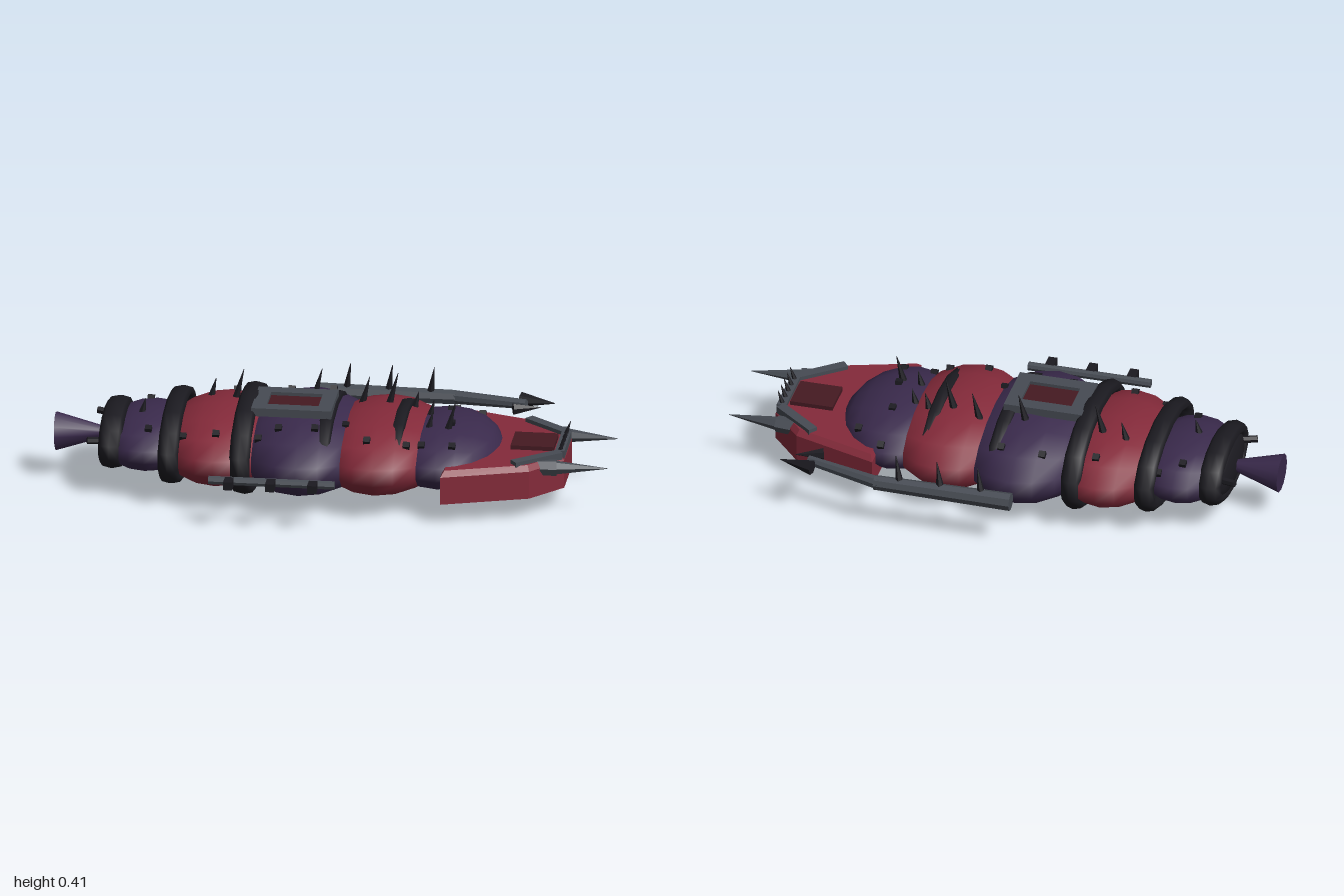
import * as THREE from 'three';
import { ConvexGeometry } from 'three/addons/geometries/ConvexGeometry.js';

const V = (x, y, z) => new THREE.Vector3(x, y, z);
const mat = (color, flatShading = false) => new THREE.MeshStandardMaterial({ color, flatShading });
const purple = mat(0x3a2a4c), red = mat(0x842a3a), hullRed = mat(0x842a3a, true);
const black = mat(0x1b1a20), blackFlat = mat(0x1b1a20, true);
const grey = mat(0x464b53, true), darkRed = mat(0x451a22, true);

// body segments: centre x, half sizes along x, y, z
const MID = 0.175;
const SEGMENTS = [
  [-0.66, 0.18, 0.105, 0.25, purple],
  [-0.40, 0.22, 0.135, 0.34, red],
  [-0.10, 0.25, 0.152, 0.383, purple],
  [0.17, 0.24, 0.141, 0.358, red],
  [0.39, 0.21, 0.115, 0.297, purple],
];

// height of the body's upper surface
function skin(x, z) {
  let top = 0;
  for (const [cx, hx, hy, hz] of SEGMENTS) {
    const d = 1 - ((x - cx) / hx) ** 2 - (z / hz) ** 2;
    if (d > 0) top = Math.max(top, hy * Math.sqrt(d));
  }
  return MID + top;
}

export function createModel() {
  const model = new THREE.Group();

  const add = (name, geometry, material, x = 0, y = 0, z = 0) => {
    const mesh = new THREE.Mesh(geometry, material);
    mesh.name = name;
    mesh.position.set(x, y, z);
    model.add(mesh);
    return mesh;
  };
  const box = (name, material, x, y, z, w, h, d) =>
    add(name, new THREE.BoxGeometry(w, h, d), material, x, y, z);
  // cylinder or cone from point a to point b
  const rod = (name, material, a, b, ra, rb, sides = 6) => {
    const axis = b.clone().sub(a);
    const mesh = add(name, new THREE.CylinderGeometry(rb, ra, axis.length(), sides), material);
    mesh.position.copy(a).add(b).multiplyScalar(0.5);
    mesh.quaternion.setFromUnitVectors(V(0, 1, 0), axis.normalize());
    return mesh;
  };

  // overlapping rounded body segments
  SEGMENTS.forEach(([x, hx, hy, hz, m]) => {
    const g = new THREE.SphereGeometry(1, 14, 10).rotateZ(Math.PI / 2).scale(hx, hy, hz);
    add('bodySegment', g, m, x, MID, 0);
  });

  // black bands: x, outer half height, outer half width, tube radius
  [
    [-0.785, 0.112, 0.232, 0.042],
    [-0.567, 0.15, 0.312, 0.037],
    [-0.307, 0.175, 0.347, 0.037],
    [-0.017, 0.152, 0.335, 0.027],
    [0.24, 0.139, 0.305, 0.024],
  ].forEach(([x, hy, hz, t]) => {
    const g = new THREE.TorusGeometry(hz - t, t, 8, 14).rotateZ(Math.PI / 2).rotateY(Math.PI / 2);
    add('bodyBand', g.scale(1, hy / hz, 1), black, x, 0.18, 0);
  });

  // tail: dark end cap, flared nozzle and two pegs
  const cap = new THREE.SphereGeometry(1, 14, 8).rotateZ(Math.PI / 2).scale(0.05, 0.1, 0.2);
  add('tailCap', cap, black, -0.79, 0.178, 0);
  rod('tailNozzle', purple, V(-1, 0.172, 0), V(-0.82, 0.178, 0), 0.07, 0.018, 12);
  for (const s of [-1, 1])
    rod('tailPeg', blackFlat, V(-0.8, 0.195, s * 0.135), V(-0.87, 0.2, s * 0.155), 0.013, 0.013);

  // head: convex wedge hull with a bevelled top edge
  const plan = [[0.415, 0.335], [0.72, 0.235], [0.83, 0.11]];
  const corners = [];
  for (const [x, z] of plan)
    for (const s of [-1, 1])
      corners.push(V(x, 0.085, s * z), V(x, 0.187, s * z), V(0.6 + (x - 0.6) * 0.94, 0.206, s * z * 0.93));
  add('headHull', new ConvexGeometry(corners), hullRed);
  box('headHatch', darkRed, 0.71, 0.212, 0, 0.155, 0.018, 0.14);

  // head trim, horns and the row of small front spikes
  box('headFrontTrim', grey, 0.812, 0.205, 0, 0.034, 0.03, 0.2);
  for (const s of [-1, 1]) {
    const trim = box('headCornerTrim', grey, 0.738, 0.207, s * 0.163, 0.195, 0.026, 0.036);
    trim.rotation.y = s * Math.atan2(0.12, 0.15);
    rod('hornSocket', grey, V(0.74, 0.18, s * 0.17), V(0.81, 0.18, s * 0.163), 0.03, 0.03);
    rod('horn', grey, V(0.8, 0.18, s * 0.163), V(0.99, 0.18, s * 0.15), 0.026, 0.001);
  }
  for (let i = -2; i <= 2; i++)
    rod('headSpike', blackFlat, V(0.81, 0.21, i * 0.041), V(0.829, 0.265, i * 0.041), 0.01, 0.001);

  // roof window: grey frame with a dark panel
  const frame = new THREE.Shape([[-0.143, -0.11], [0.143, -0.11], [0.143, 0.11], [-0.143, 0.11]]
    .map(p => new THREE.Vector2(...p)));
  frame.holes.push(new THREE.Path([[-0.092, -0.06], [-0.092, 0.06], [0.092, 0.06], [0.092, -0.06]]
    .map(p => new THREE.Vector2(...p))));
  const frameGeo = new THREE.ExtrudeGeometry(frame, { depth: 0.03, bevelEnabled: false });
  add('windowFrame', frameGeo.rotateX(-Math.PI / 2), grey, -0.143, 0.315, 0.03);
  box('windowPanel', darkRed, -0.143, 0.322, 0.03, 0.19, 0.022, 0.125);

  // long spikes on the back: x, z, height
  [
    [-0.69, 0.03, 0.045], [-0.46, -0.11, 0.06], [-0.37, -0.09, 0.1], [-0.09, -0.11, 0.09],
    [0.08, -0.11, 0.09], [0.18, -0.085, 0.105], [0.27, -0.09, 0.05], [0.33, -0.05, 0.05],
    [0.41, 0.08, 0.09], [0.34, 0.07, 0.05],
  ].forEach(([x, z, h]) => {
    const y = skin(x, z);
    rod('backSpike', blackFlat, V(x, y - 0.015, z), V(x + h * 0.3, y + h, z), 0.015, 0.001);
  });

  // small studs scattered over the shell: x, z
  [
    [-0.68, -0.16], [-0.6, -0.2], [-0.38, -0.23], [-0.19, -0.26], [-0.04, -0.26], [0.4, -0.27],
    [0.5, -0.2], [0.4, -0.11], [0.42, 0.05], [-0.18, 0.2], [-0.05, 0.2], [0.05, 0.12],
    [0.14, 0.24], [0.28, 0.23], [0.33, 0.2], [0.44, 0.2], [-0.52, 0.21], [-0.4, 0.23],
    [-0.25, 0.22], [-0.65, 0.16],
  ].forEach(([x, z]) => {
    const stud = box('shellStud', blackFlat, x, skin(x, z), z, 0.024, 0.02, 0.024);
    stud.rotation.x = z * 2.2;
  });

  // right side arm: jointed tube with spikes and a two-pronged claw
  rod('armUpper', grey, V(-0.13, 0.19, -0.465), V(0.37, 0.19, -0.465), 0.033, 0.027, 8);
  rod('armLower', grey, V(0.35, 0.19, -0.468), V(0.63, 0.2, -0.398), 0.025, 0.018, 8);
  for (const x of [-0.02, 0.13, 0.28])
    rod('armSpike', blackFlat, V(x, 0.205, -0.462), V(x + 0.015, 0.305, -0.452), 0.015, 0.001);
  rod('clawProng', blackFlat, V(0.605, 0.2, -0.445), V(0.73, 0.2, -0.42), 0.027, 0.001);
  rod('clawProng', blackFlat, V(0.59, 0.2, -0.345), V(0.685, 0.2, -0.375), 0.022, 0.001);

  // left side rail with three blocks
  rod('sideRail', grey, V(-0.4, 0.18, 0.44), V(0.05, 0.18, 0.44), 0.016, 0.016, 8);
  for (const x of [-0.325, -0.175, -0.025])
    box('railBlock', blackFlat, x, 0.18, 0.468, 0.032, 0.03, 0.056);

  return model;
}
